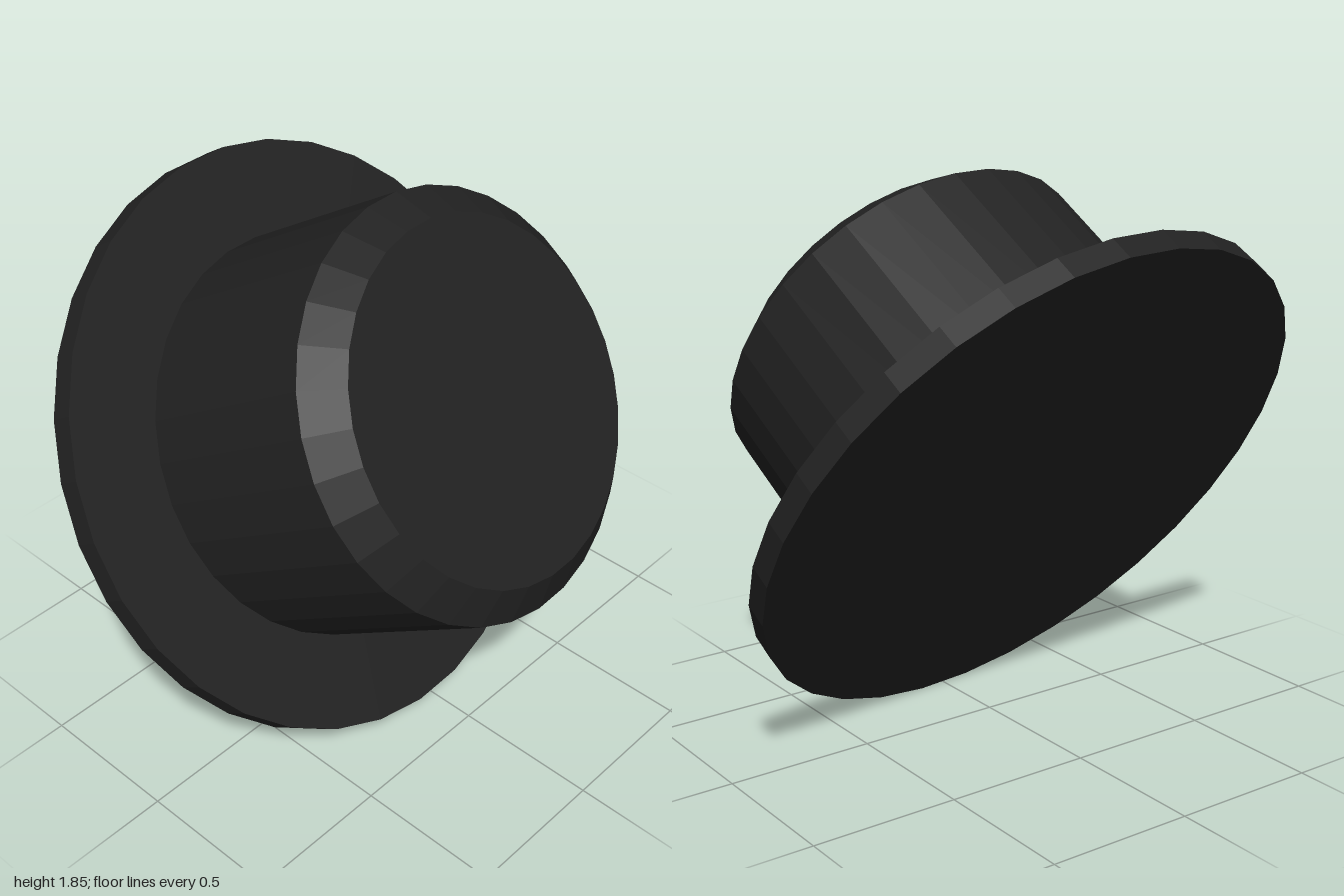
import * as THREE from 'three';

const SIDES = 32;

export function createModel() {
  const model = new THREE.Group();
  model.name = 'hat';
  const blackFelt = new THREE.MeshStandardMaterial({ color: 0x222222, flatShading: true });
  blackFelt.name = 'blackFelt';

  // Each part is a turned profile of [radius, height] points, bottom to top
  const turned = (name, profile) => {
    const points = profile.map(([r, h]) => new THREE.Vector2(r, h));
    const mesh = new THREE.Mesh(new THREE.LatheGeometry(points, SIDES, Math.PI / SIDES), blackFelt);
    mesh.name = name;
    return mesh;
  };

  const hat = new THREE.Group();
  hat.name = 'tiltedHat';
  hat.add(
    // Flat brim with closed underside
    turned('brim', [[0, 0], [1.004, 0], [1.004, 0.086], [0.69, 0.086]]),
    // Straight crown wall
    turned('crown', [[0.69, 0.086], [0.69, 0.787]]),
    // Bevelled edge and flat top
    turned('crownTop', [[0.69, 0.787], [0.583, 0.89], [0, 0.89]])
  );

  // Tip the hat over so its top points to +x and up, turned slightly to the back
  const up = new THREE.Vector3(0.84, 0.54, -0.065).normalize();
  const side = up.clone().cross(new THREE.Vector3(0, 0, 1)).normalize();
  const front = side.clone().cross(up);
  hat.quaternion.setFromRotationMatrix(new THREE.Matrix4().makeBasis(side, up, front));
  hat.position.set(-0.26, 0.84, 0.003);
  model.add(hat);
  return model;
}
